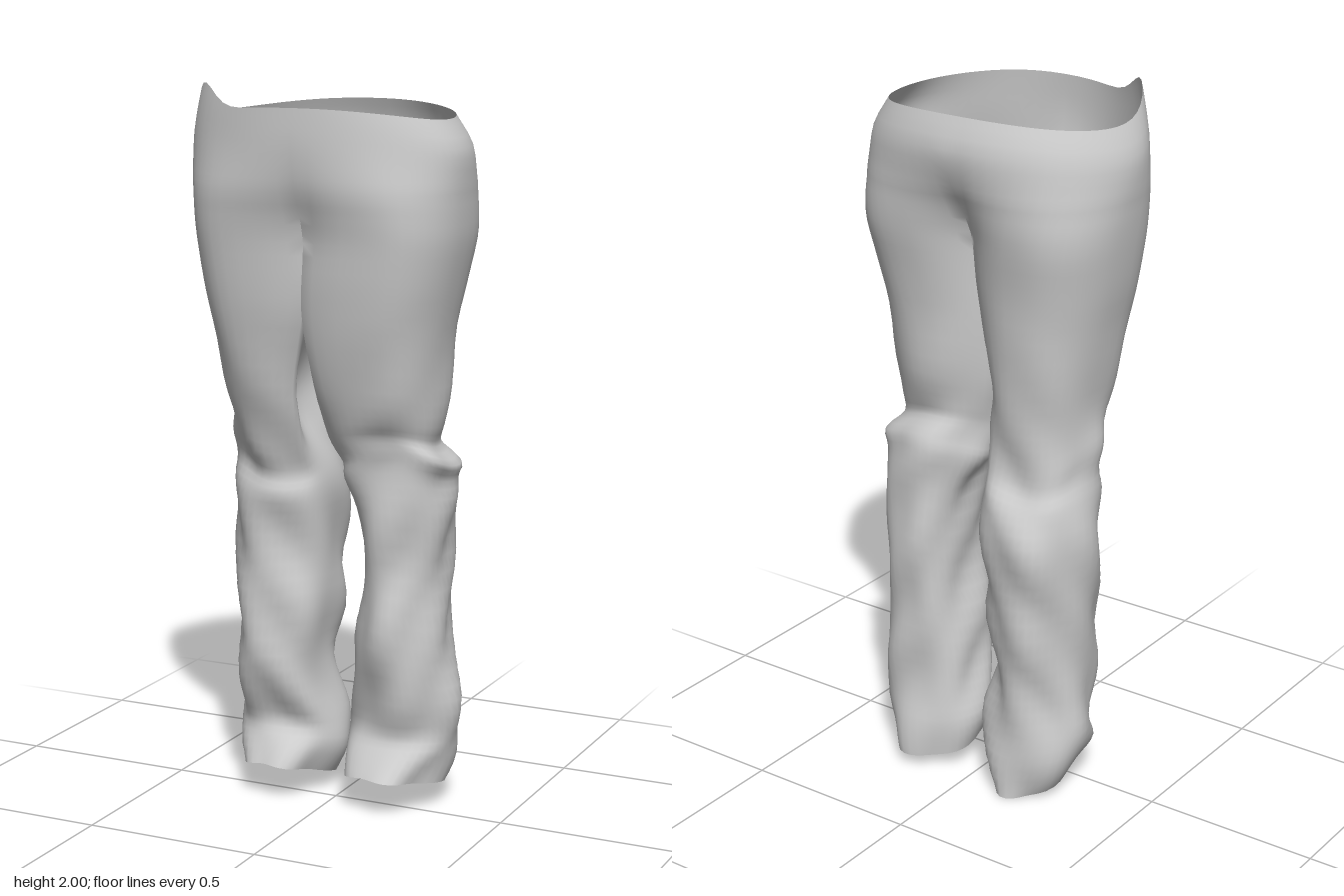
import * as THREE from 'three';
import { mergeVertices } from 'three/addons/utils/BufferGeometryUtils.js';

const ARC = 30, INNER = 14, RING = ARC + INNER, SUB = 3;
const CROTCH = 5; // station at which the hips split into two legs
const FRONT = -0.6, BACK = Math.PI + 0.92; // angles where the outer arc starts and ends

// Stations from waist to hem: y, inner x, outer x, back z, front z (x away from the centre)
const LEFT = [
  [1.93, 0, 0.345, -0.245, 0.273], [1.85, 0, 0.388, -0.272, 0.274], [1.76, 0, 0.392, -0.27, 0.272],
  [1.71, 0, 0.39, -0.26, 0.264], [1.66, 0, 0.388, -0.248, 0.25], [1.59, 0, 0.382, -0.23, 0.235],
  [1.48, -0.01, 0.361, -0.207, 0.225], [1.36, -0.025, 0.337, -0.19, 0.208], [1.2, -0.035, 0.32, -0.178, 0.178],
  [1.1, -0.025, 0.307, -0.162, 0.145], [1.05, -0.015, 0.298, -0.155, 0.124], [1.0, 0, 0.342, -0.185, 0.112],
  [0.95, 0.005, 0.32, -0.2, 0.108], [0.86, 0.045, 0.32, -0.212, 0.1], [0.72, 0.068, 0.31, -0.218, 0.09],
  [0.58, 0.07, 0.302, -0.218, 0.1], [0.44, 0.055, 0.322, -0.208, 0.1], [0.32, 0.04, 0.336, -0.205, 0.072],
  [0.22, 0.03, 0.334, -0.21, 0.045], [0.15, 0.022, 0.325, -0.222, 0.085], [0.075, 0.04, 0.288, -0.225, 0.138],
];
const RIGHT = [
  [1.93, 0, 0.36, -0.245, 0.273], [1.85, 0, 0.39, -0.272, 0.274], [1.76, 0, 0.392, -0.27, 0.272],
  [1.71, 0, 0.388, -0.26, 0.264], [1.66, 0, 0.384, -0.248, 0.25], [1.59, 0, 0.376, -0.23, 0.235],
  [1.48, 0, 0.36, -0.212, 0.222], [1.36, 0.01, 0.338, -0.202, 0.205], [1.2, 0.022, 0.314, -0.192, 0.17],
  [1.1, 0.015, 0.308, -0.18, 0.14], [1.02, 0.008, 0.31, -0.172, 0.112], [0.95, 0.005, 0.302, -0.185, 0.08],
  [0.89, 0.01, 0.318, -0.225, 0.098], [0.8, 0.025, 0.33, -0.245, 0.095], [0.68, 0.03, 0.32, -0.238, 0.09],
  [0.56, 0.033, 0.318, -0.228, 0.1], [0.42, 0.048, 0.302, -0.214, 0.108], [0.31, 0.042, 0.31, -0.208, 0.08],
  [0.21, 0.012, 0.325, -0.203, 0.05], [0.13, 0.005, 0.305, -0.218, 0.08], [0.055, 0.05, 0.262, -0.22, 0.122],
];

const { smoothstep, lerp } = THREE.MathUtils;
const power = (v, p) => Math.sign(v) * Math.abs(v) ** p;
const bump = (v, centre, width) => Math.exp(-(((v - centre) / width) ** 2));

// Smooth curve through the stations
function station(table, r) {
  const i = Math.min(Math.floor(r), table.length - 2), t = r - i;
  const [a, b, c, d] = [Math.max(i - 1, 0), i, i + 1, Math.min(i + 2, table.length - 1)].map(k => table[k]);
  return b.map((v, k) => {
    const m0 = (c[k] - a[k]) / 2, m1 = (d[k] - v) / 2, e = c[k] - v;
    return v + t * (m0 + t * (3 * e - 2 * m0 - m1 + t * (m0 + m1 - 2 * e)));
  });
}

// One point of a half of the trousers; side is +1 for left, -1 for right
function point(table, side, row, i) {
  const r = row / SUB, hip = r <= CROTCH;
  const [y0, xin, xout, zb, zf] = station(table, r);
  const cx = (xin + xout) / 2, rx = (xout - xin) / 2, cz = (zb + zf) / 2, rz = (zf - zb) / 2;
  const square = lerp(0.96, 0.85, smoothstep(y0, 1, 1.5)); // thighs are fuller than the shins
  const ringX = a => cx + rx * power(Math.sin(a), square);
  const ringZ = a => cz + rz * power(Math.cos(a), square);
  const f = Math.max(0, (i - ARC) / INNER); // 0..1 along the inner side, back to front
  const phi = i <= ARC ? lerp(FRONT, BACK, i / ARC) : lerp(BACK, FRONT + 2 * Math.PI, f);
  let x = ringX(phi), z = ringZ(phi), y = y0;

  // the thighs meet along the front and back seams
  const toFront = Math.min(i, RING - i), toBack = Math.abs(i - ARC);
  const end = Math.max(0, 1 - Math.min(toFront, toBack) / 6) ** 1.3;
  const gap = ringX(toFront < toBack ? FRONT : BACK) - xin;

  if (hip) {
    // blend from the waist oval to the two thighs
    const k = 1 - smoothstep(y0, 1.57, 1.87), t = Math.PI * Math.min(i, ARC) / ARC;
    x = lerp(xout * Math.sin(t) ** 0.92, x - end * gap, k);
    z = lerp(cz + rz * Math.cos(t) + 0.03 * Math.sin(t) ** 6, z, k);
    if (i === 0 || i >= ARC) x = 0;
    if (i > ARC) { // crotch seam
      z = lerp(ringZ(BACK), ringZ(FRONT), f);
      y -= 0.05 * Math.sin(Math.PI * f);
    }
    // waist edge, dipping at the sides and raised at the right hip
    y += smoothstep(y0, 1.72, 1.93) * (0.016 * Math.cos(2 * t)
      + (side < 0 ? 0.08 * bump(x, 0.3, 0.08) * bump(z, 0.15, 0.1) : 0));
  } else {
    x -= end * gap * smoothstep(y0, 1.0, 1.5);
    // inner side pressed in
    x += Math.sin(Math.PI * f) ** 2 * (side < 0 ? 0.1 * bump(y0, 1.14, 0.2) : 0.03 * bump(y0, 0.85, 0.25));
    // cloth folds, stronger towards the hem
    const amp = 0.008 * (1 - smoothstep(y0, 0.8, 1.4)) + 0.002 * (1 - smoothstep(y0, 1.3, 1.5));
    const fold = amp * (Math.sin(13 * y0 + 2 * phi + side) * Math.sin(3 * phi - 9 * y0)
      + 0.6 * Math.sin(23 * y0 - 5 * phi + 2 * side));
    x += fold * Math.sin(phi);
    z += fold * Math.cos(phi);
    // knee creases and hem slope
    y += 0.025 * Math.sin(2 * phi + side) * bump(y0, 1, 0.12);
    y += (side > 0 ? 0.038 : 0.053) * Math.cos(phi) * (1 - smoothstep(y0, 0.05, 0.26));
  }
  return [side * x, y, z];
}

export function createModel() {
  const positions = [], parts = { hips: [], leftLeg: [], rightLeg: [] };
  for (const [table, side, leg] of [[LEFT, 1, 'leftLeg'], [RIGHT, -1, 'rightLeg']]) {
    const base = positions.length / 3, rows = (table.length - 1) * SUB;
    for (let r = 0; r <= rows; r++)
      for (let i = 0; i < RING; i++) positions.push(...point(table, side, r, i));
    for (let r = 0; r < rows; r++) {
      const hip = r < CROTCH * SUB;
      for (let i = 0; i < (hip ? ARC : RING); i++) {
        const a = base + r * RING + i, b = base + r * RING + (i + 1) % RING;
        const c = a + RING, d = b + RING;
        parts[hip ? 'hips' : leg].push(...(side > 0 ? [a, c, d, a, d, b] : [a, d, c, a, b, d]));
      }
    }
  }

  // Weld everything so that shading runs smoothly over the seams
  let cloth = new THREE.BufferGeometry();
  cloth.setAttribute('position', new THREE.Float32BufferAttribute(positions, 3));
  cloth.setIndex(Object.values(parts).flat());
  cloth = mergeVertices(cloth, 1e-4);
  cloth.computeVertexNormals();

  const material = new THREE.MeshStandardMaterial({ color: 0xcccccc, roughness: 0.9, side: THREE.DoubleSide });
  const group = new THREE.Group();
  group.name = 'trousers';
  const index = Array.from(cloth.index.array);
  let start = 0;
  for (const [name, faces] of Object.entries(parts)) {
    const part = cloth.clone();
    part.setIndex(index.slice(start, start += faces.length));
    const mesh = new THREE.Mesh(part.toNonIndexed(), material);
    mesh.name = name;
    group.add(mesh);
  }
  return group;
}
